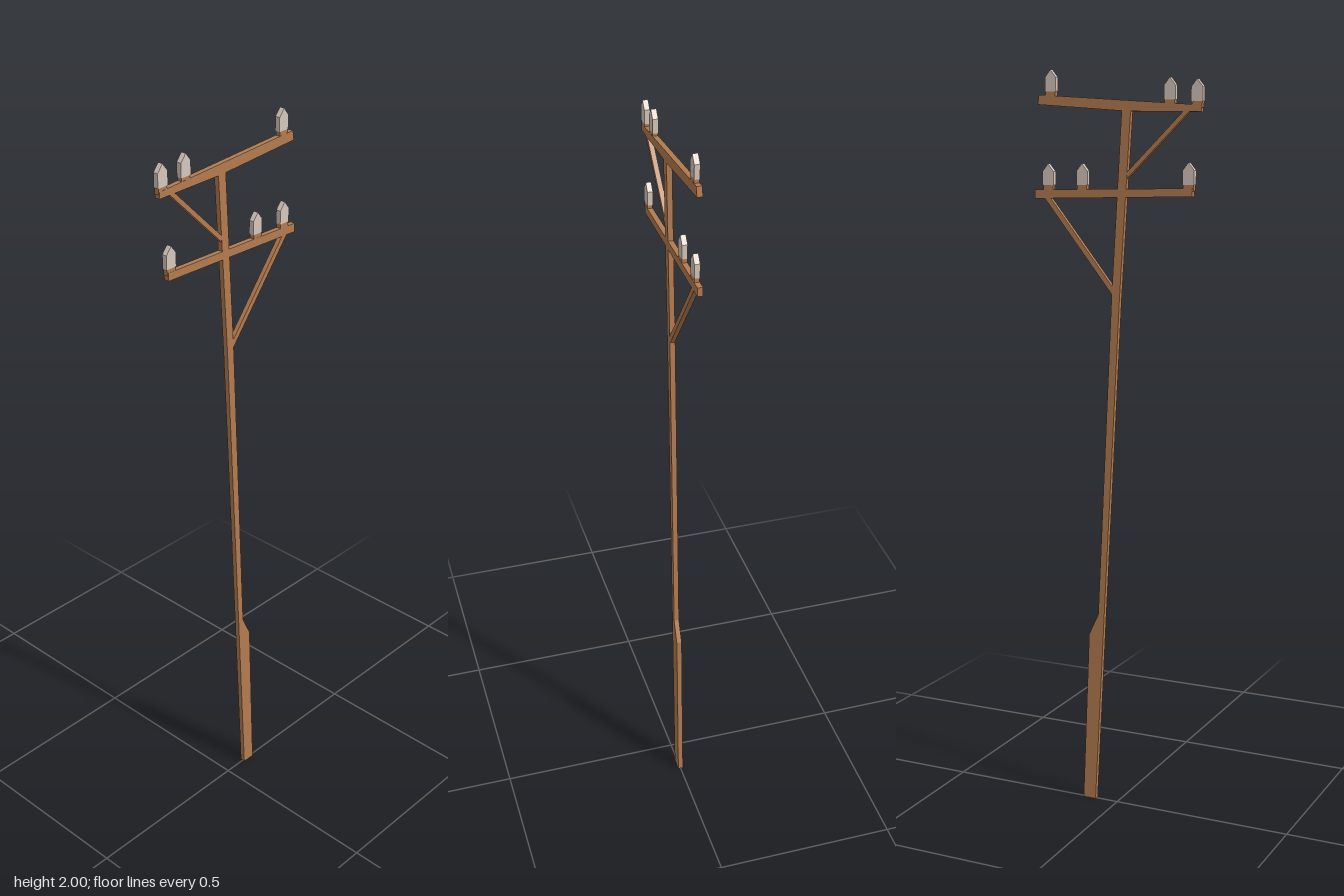
import * as THREE from 'three';

const DEPTH = 0.014;

export function createModel() {
  const model = new THREE.Group();
  model.name = 'utilityPole';

  const wood = new THREE.MeshStandardMaterial({ color: 0xb47c4f });
  wood.name = 'weathered wood';
  const ceramic = new THREE.MeshStandardMaterial({ color: 0xd6c8bc });
  ceramic.name = 'insulator grey';

  // Cuts a flat outline and gives it thickness centred on z = 0
  function slab(name, points, material, depth = DEPTH) {
    const shape = new THREE.Shape(points.map(([x, y]) => new THREE.Vector2(x, y)));
    const geometry = new THREE.ExtrudeGeometry(shape, { depth, bevelEnabled: false });
    geometry.translate(0, 0, -depth / 2);
    const mesh = new THREE.Mesh(geometry, material);
    mesh.name = name;
    model.add(mesh);
  }

  // Straight strut of even width between two points
  function strut(name, [x1, y1], [x2, y2], width) {
    const length = Math.hypot(x2 - x1, y2 - y1);
    const mesh = new THREE.Mesh(new THREE.BoxGeometry(length, width, DEPTH * 0.9), wood);
    mesh.position.set((x1 + x2) / 2, (y1 + y2) / 2, 0);
    mesh.rotation.z = Math.atan2(y2 - y1, x2 - x1);
    mesh.name = name;
    model.add(mesh);
  }

  // Leaning pole with its thicker reinforced foot
  slab('pole', [
    [0.064, 0], [0.101, 0], [0.082, 0.48], [0.054, 0.54],
    [0.013, 1.41], [-0.017, 1.908], [-0.042, 1.9], [-0.01, 1.41], [0.036, 0.54],
  ], wood);

  // Cross arms
  slab('upperArm', [[-0.237, 1.887], [-0.03, 1.891], [0.228, 1.911], [0.224, 1.936], [-0.237, 1.904]], wood);
  slab('lowerArm', [[-0.214, 1.676], [0.239, 1.667], [0.239, 1.69], [-0.214, 1.697]], wood);

  // Diagonal braces
  strut('upperBrace', [-0.203, 1.896], [-0.024, 1.722], 0.012);
  strut('lowerBrace', [0.207, 1.676], [0.004, 1.42], 0.014);

  // Pointed insulators on short wooden pegs
  const insulators = [
    [-0.225, 1.903], [-0.15, 1.908], [0.19, 1.934],
    [-0.203, 1.696], [0.099, 1.693], [0.199, 1.692],
  ];
  for (const [x, y] of insulators) {
    slab('insulatorPeg', [
      [x - 0.014, y - 0.006], [x + 0.014, y - 0.006], [x + 0.014, y + 0.01], [x - 0.014, y + 0.01],
    ], wood, DEPTH * 0.95);
    slab('insulator', [
      [x - 0.016, y + 0.01], [x + 0.016, y + 0.01], [x + 0.016, y + 0.046],
      [x, y + 0.066], [x - 0.016, y + 0.046],
    ], ceramic);
  }
  return model;
}
